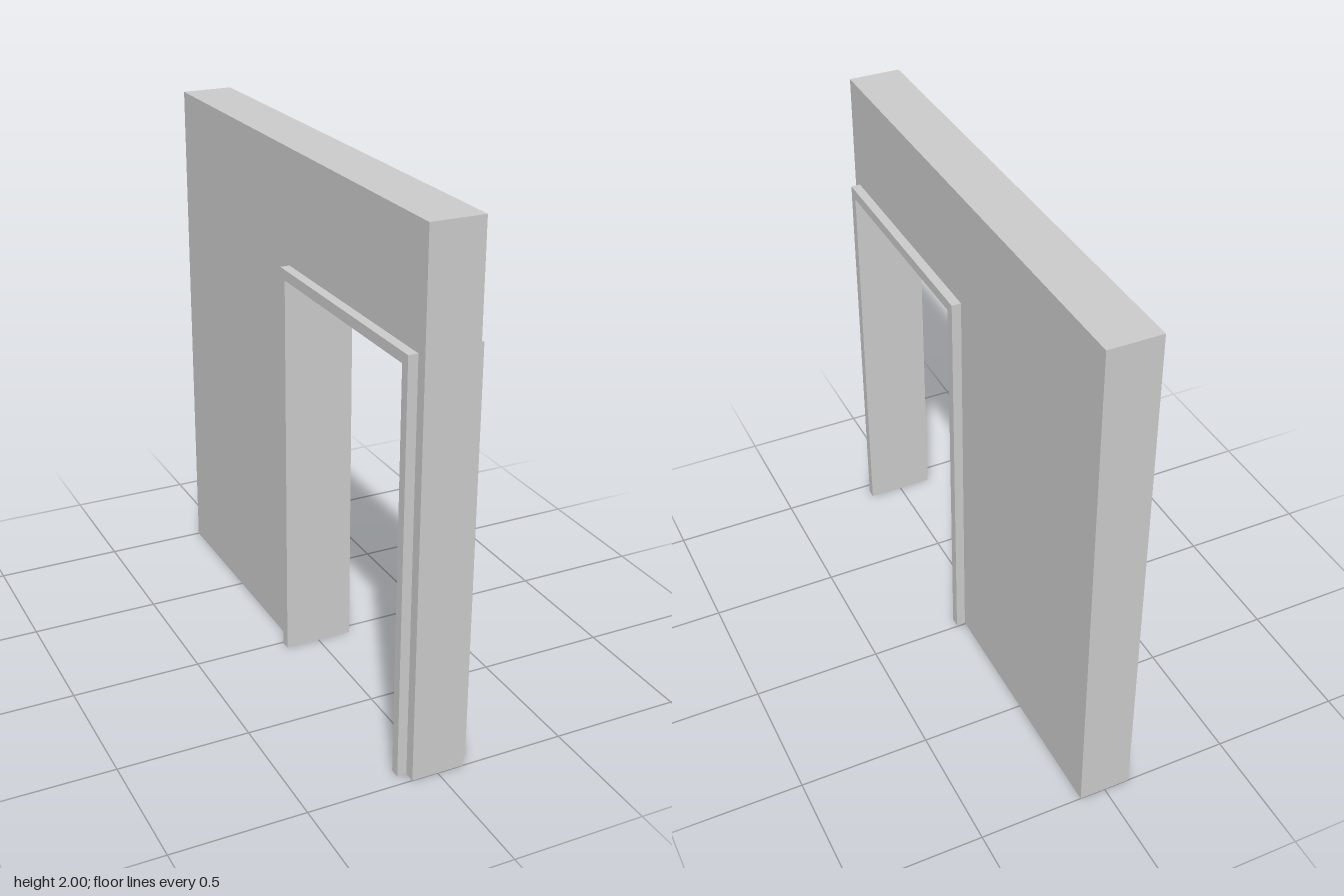
import * as THREE from 'three';

const WALL_DEPTH = 0.2, FRAME_DEPTH = 0.272;
const OUTER = { z0: 0.006, z1: 0.957, top: 1.57 }; // opening in the wall
const INNER = { z0: 0.043, z1: 0.92, top: 1.53 };  // clear passage

// Outline (z, y) of a rectangle standing on the floor with a doorway cut from its base
function portalShape(outer, hole) {
  return new THREE.Shape([
    [outer.z0, 0], [hole.z0, 0], [hole.z0, hole.top], [hole.z1, hole.top],
    [hole.z1, 0], [outer.z1, 0], [outer.z1, outer.top], [outer.z0, outer.top],
  ].map(([z, y]) => new THREE.Vector2(z, y)));
}

// Extrude the outline symmetrically across x
function portal(name, outer, hole, depth, material) {
  const geometry = new THREE.ExtrudeGeometry(portalShape(outer, hole), { depth, bevelEnabled: false });
  geometry.translate(0, 0, -depth / 2).rotateY(-Math.PI / 2);
  const mesh = new THREE.Mesh(geometry, material);
  mesh.name = name;
  return mesh;
}

export function createModel() {
  const group = new THREE.Group();
  group.name = 'wallWithDoorway';
  const material = new THREE.MeshStandardMaterial({ color: 0xcccccc, flatShading: true });

  // Wall slab with an off-centre doorway
  group.add(portal('wall', { z0: -1, z1: 1, top: 2 }, OUTER, WALL_DEPTH, material));
  // Door frame lining the opening and standing proud on both faces
  group.add(portal('doorFrame', OUTER, INNER, FRAME_DEPTH, material));
  return group;
}
